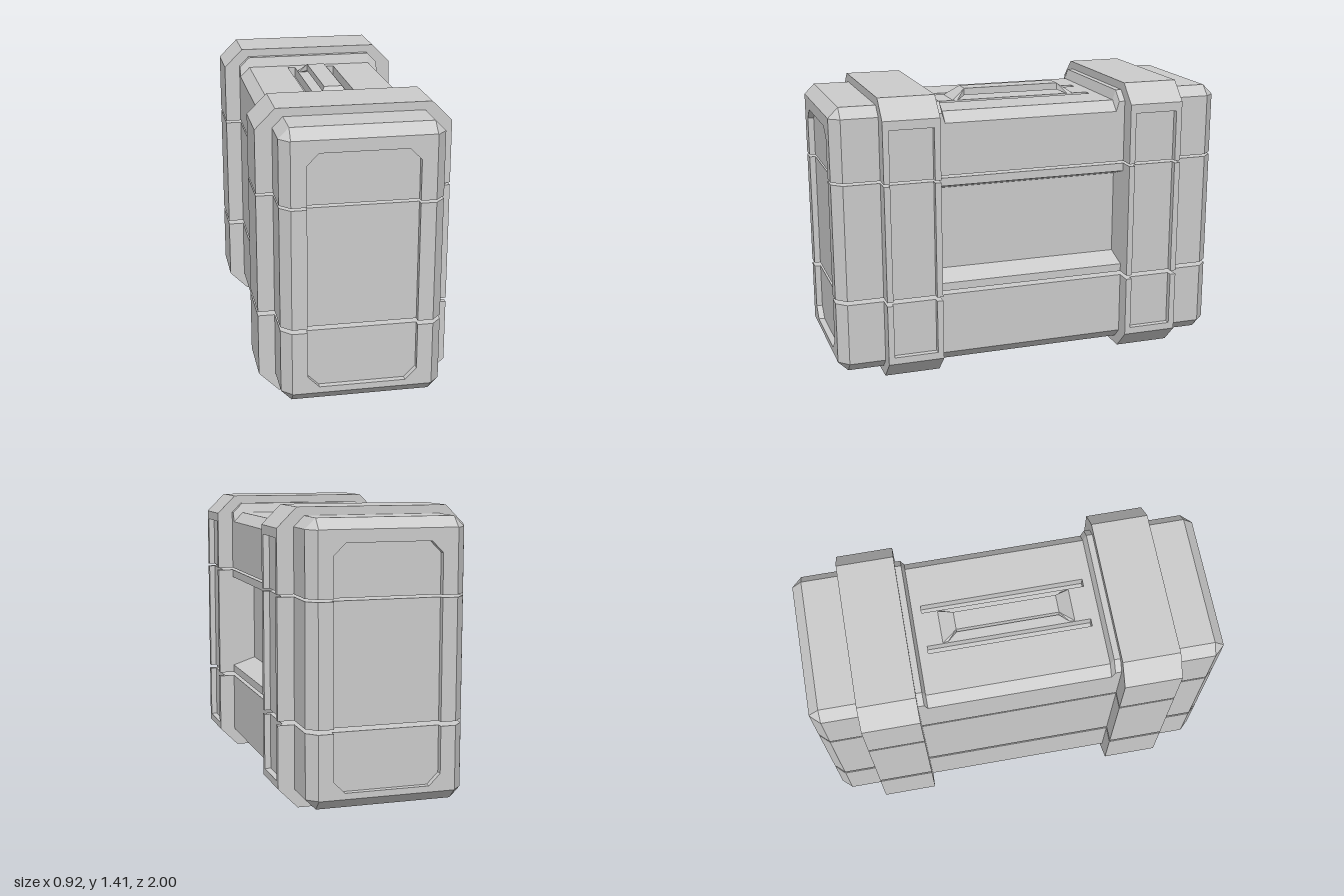
import * as THREE from 'three';
import { ConvexGeometry } from 'three/addons/geometries/ConvexGeometry.js';

const material = new THREE.MeshStandardMaterial({ color: 0xcccccc, flatShading: true });

// The case is split by two thin gaps into three layers: [name, low y, high y]
const LAYERS = [['base', -1, 0.4], ['middle', 0.42, 1.0], ['lid', 1.012, 2]];

// Cut an [x, y] loop to the part on one side of a height
function cut(loop, y0, sign) {
  const out = [];
  loop.forEach((p, i) => {
    const q = loop[(i + 1) % loop.length];
    const dp = (p[1] - y0) * sign, dq = (q[1] - y0) * sign;
    if (dp >= 0) out.push(p);
    if (dp * dq < 0) out.push([p[0] + (q[0] - p[0]) * dp / (dp - dq), y0]);
  });
  return out;
}
const clip = (loop, lo, hi) => cut(cut(loop, lo, 1), hi, -1);

// Solid between counter-clockwise loop a at za and matching loop b at zb (zb > za)
function loft(name, a, za, b, zb) {
  const pos = [];
  const put = (p, z) => pos.push(p[0], p[1], z);
  a.forEach((p, i) => {
    const j = (i + 1) % a.length;
    put(p, za); put(a[j], za); put(b[j], zb);
    put(p, za); put(b[j], zb); put(b[i], zb);
  });
  for (const [loop, z, front] of [[a, za, false], [b, zb, true]]) {
    const tris = THREE.ShapeUtils.triangulateShape(loop.map(p => new THREE.Vector2(...p)), []);
    for (const t of tris) for (const i of front ? t : [t[2], t[1], t[0]]) put(loop[i], z);
  }
  const geometry = new THREE.BufferGeometry();
  geometry.setAttribute('position', new THREE.Float32BufferAttribute(pos, 3));
  geometry.computeVertexNormals();
  const mesh = new THREE.Mesh(geometry, material);
  mesh.name = name;
  return mesh;
}

// Chamfered rectangle; `side` and `top` add notch points on the +x side and on the top
const section = (w, lo, hi, c, side = [], top = []) => [
  [-w + c, lo], [w - c, lo], [w, lo + c], ...side, [w, hi - c],
  [w - c, hi], ...top, [-w + c, hi], [-w, hi - c], [-w, lo + c],
];

const mirrorLoop = loop => loop.map(([x, y]) => [-x, y]).reverse();

// End block: plain length, chamfered end frame and sunken panel
function makeEnd(name) {
  const end = new THREE.Group();
  end.name = name;
  const body = section(0.38, 0.04, 1.37, 0.05);
  const panel = section(0.26, 0.12, 1.26, 0.055);
  const inner = [[0, 1.26], [0.205, 1.26], [0.26, 1.205], [0.26, 0.175], [0.205, 0.12], [0, 0.12]];
  const outerBack = [[0, 0.04], [0.33, 0.04], [0.38, 0.09], [0.38, 1.32], [0.33, 1.37], [0, 1.37]];
  const outerFront = [[0, 0.09], [0.331, 0.09], [0.333, 0.092], [0.333, 1.318], [0.331, 1.32], [0, 1.32]];
  for (const [layer, lo, hi] of LAYERS) {
    const s = clip(body, lo, hi), p = clip(panel, lo, hi);
    const back = clip([...outerBack, ...inner], lo, hi);
    const front = clip([...outerFront, ...inner], lo, hi);
    end.add(
      loft(layer + 'EndBlock', s, 0.49, s, 0.95),
      loft(layer + 'EndFrameLeft', back, 0.95, front, 1),
      loft(layer + 'EndFrameRight', mirrorLoop(back), 0.95, mirrorLoop(front), 1),
      loft(layer + 'EndPanel', p, 0.94, p, 0.97),
    );
  }
  return end;
}

// Thick band around the case with a sunken panel on its left side
function makeBand(name, z) {
  const band = new THREE.Group();
  band.name = name;
  const plain = section(0.46, 0, 1.41, 0.095);
  const notched = section(0.46, 0, 1.41, 0.095, [[0.46, 0.13], [0.43, 0.13], [0.43, 1.27], [0.46, 1.27]]);
  for (const [layer, lo, hi] of LAYERS) {
    const p = clip(plain, lo, hi), n = clip(notched, lo, hi);
    band.add(
      loft(layer + 'BandRim', p, z - 0.14, p, z - 0.11),
      loft(layer + 'BandPanel', n, z - 0.11, n, z + 0.11),
      loft(layer + 'BandRim', p, z + 0.11, p, z + 0.14),
    );
  }
  return band;
}

// Centre length: side recess in the middle layer, lowered lid with two grip slots
function makeCentre() {
  const centre = new THREE.Group();
  centre.name = 'centre';
  const recess = [[0.38, 0.46], [0.26, 0.5], [0.26, 0.92], [0.38, 0.96]];
  const slots = [[0.125, 1.32], [0.125, 1.27], [0.087, 1.27], [0.087, 1.32]];
  const [base, middle, lid] = LAYERS;
  const shape = ([, lo, hi], top, cuts) => clip(section(0.38, 0.04, top, 0.05, recess, cuts), lo, hi);
  const b = shape(base, 1.37), m = shape(middle, 1.37);
  const high = shape(lid, 1.37), low = shape(lid, 1.32);
  const slotted = shape(lid, 1.32, [...slots, ...mirrorLoop(slots)]);
  centre.add(
    loft('baseCentre', b, -0.49, b, 0.49),
    loft('middleCentre', m, -0.49, m, 0.49),
    loft('lidSlotted', slotted, -0.4, slotted, 0.4),
  );
  // Lid rises to full height beside each band
  for (const [name, turn] of [['Front', 0], ['Back', Math.PI]]) {
    const rise = new THREE.Group();
    rise.name = 'lidRise' + name;
    rise.add(
      loft('lidFlat', low, 0.4, low, 0.445),
      loft('lidSlope', low, 0.445, high, 0.46),
      loft('lidShoulder', high, 0.46, high, 0.49),
    );
    rise.rotation.y = turn;
    centre.add(rise);
  }
  return centre;
}

// Carrying handle: flat bar on two flared feet
function makeHandle() {
  const handle = new THREE.Group();
  handle.name = 'handle';
  const bar = new THREE.Mesh(new THREE.BoxGeometry(0.09, 0.035, 0.5), material);
  bar.name = 'handleBar';
  bar.position.y = 1.3525;
  handle.add(bar);
  for (const s of [-1, 1]) {
    const points = [];
    for (const x of [-1, 1]) {
      for (const [w, y, z] of [[0.045, 1.37, 0.25], [0.045, 1.335, 0.25], [0.087, 1.315, 0.33], [0.083, 1.315, 0.3]]) {
        points.push(new THREE.Vector3(x * w, y, s * z));
      }
    }
    const foot = new THREE.Mesh(new ConvexGeometry(points), material);
    foot.name = 'handleFoot';
    handle.add(foot);
  }
  return handle;
}

export function createModel() {
  const model = new THREE.Group();
  model.name = 'case';
  const backEnd = makeEnd('backEnd');
  backEnd.rotation.y = Math.PI;
  model.add(
    makeEnd('frontEnd'), backEnd,
    makeBand('frontBand', 0.63), makeBand('backBand', -0.63),
    makeCentre(), makeHandle(),
  );
  return model;
}
